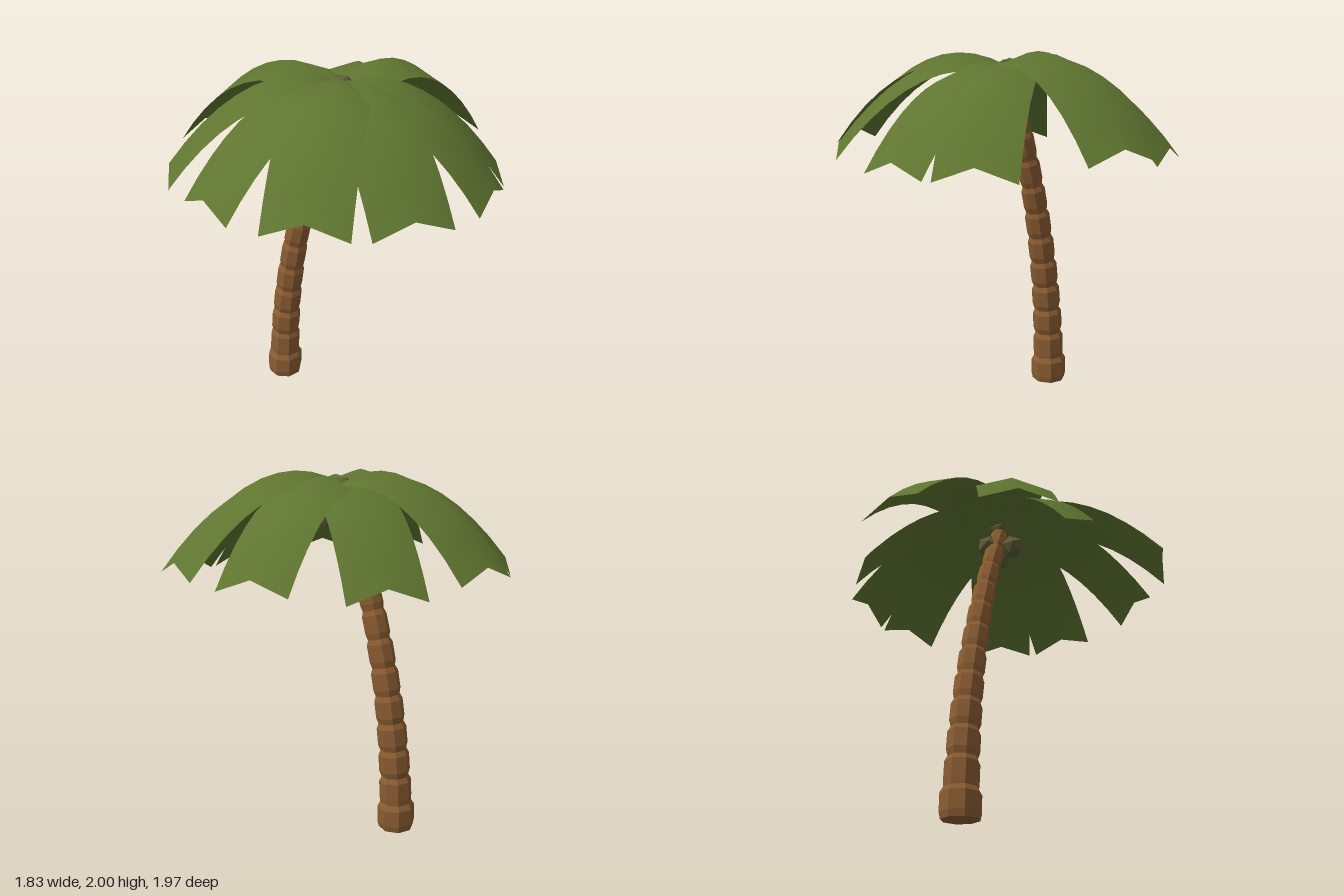
import * as THREE from 'three';

const CROWN_X = 0.07;
const TRUNK_H = 1.88;
const SEGMENTS = 12;
const SIDES = 8;

// Trunk centre line: upright at the base, leaning steadily towards +x
const trunkX = (y) => -0.325 + 0.395 * (y / TRUNK_H) ** 2;
const trunkTilt = (y) => Math.atan((2 * 0.395 * y) / TRUNK_H ** 2);

function trunkGeometry() {
  // Each segment bulges between two narrow joints
  const rings = [];
  const h = TRUNK_H / SEGMENTS;
  for (let i = 0; i < SEGMENTS; i++) {
    const r = i === 0 ? 0.107 : 0.096 - 0.0038 * i;
    const steps = [[0.22, 1], [0.82, 1], [1, 0.84]];
    if (i === 0) steps.unshift([0, 0.93]);
    for (const [f, k] of steps) rings.push([(i + f) * h, r * k]);
  }

  const pos = [];
  const index = [];
  for (const [y, r] of rings) {
    const tilt = trunkTilt(y);
    for (let j = 0; j < SIDES; j++) {
      const a = (j / SIDES) * Math.PI * 2;
      const u = Math.cos(a) * r;
      pos.push(trunkX(y) + u * Math.cos(tilt), y - u * Math.sin(tilt), Math.sin(a) * r);
    }
  }
  for (let i = 0; i < rings.length - 1; i++) {
    for (let j = 0; j < SIDES; j++) {
      const a = i * SIDES + j;
      const b = i * SIDES + ((j + 1) % SIDES);
      index.push(a, a + SIDES, b, b, a + SIDES, b + SIDES);
    }
  }
  // End caps
  const top = (rings.length - 1) * SIDES;
  for (let j = 1; j < SIDES - 1; j++) {
    index.push(0, j, j + 1, top, top + j + 1, top + j);
  }
  const geo = new THREE.BufferGeometry();
  geo.setAttribute('position', new THREE.Float32BufferAttribute(pos, 3));
  geo.setIndex(index);
  geo.computeVertexNormals();
  return geo;
}

// A strip with a raised midrib that rises from the crown, then droops
function frondGeometry(length, rise, droop) {
  const geo = new THREE.PlaneGeometry(length, 0.4, 10, 2);
  geo.rotateX(-Math.PI / 2).translate(length / 2, 0, 0);
  const p = geo.attributes.position;
  for (let i = 0; i < p.count; i++) {
    const t = p.getX(i) / length;
    p.setY(i, 1.927 + rise * t - droop * t * t - 0.35 * Math.abs(p.getZ(i)));
  }
  geo.computeVertexNormals();
  return geo;
}

export function createModel() {
  const model = new THREE.Group();
  const bark = new THREE.MeshStandardMaterial({ color: 0x8a5c32, flatShading: true });
  const leaf = new THREE.MeshStandardMaterial({ color: 0x5f7530, side: THREE.DoubleSide });
  const husk = new THREE.MeshStandardMaterial({ color: 0x5c5c38, flatShading: true });

  const add = (parent, name, geometry, material) => {
    const mesh = new THREE.Mesh(geometry, material);
    mesh.name = name;
    parent.add(mesh);
    return mesh;
  };

  add(model, 'trunk', trunkGeometry(), bark);

  // Ten fronds in three alternating lengths, every second one turned a little further
  const fronds = new THREE.Group();
  fronds.name = 'fronds';
  fronds.position.x = CROWN_X;
  model.add(fronds);
  const kinds = [[0.84, 0.25, 0.687], [0.905, 0.38, 0.775], [0.972, 0.5, 0.857]];
  const frondGeos = kinds.map((k) => frondGeometry(...k));
  for (let i = 0; i < 10; i++) {
    const frond = add(fronds, 'frond', frondGeos[i % 3], leaf);
    frond.rotation.y = -THREE.MathUtils.degToRad(i * 36 + (i % 2) * 6);
  }

  // Crown bud on top, with three nuts hanging round the trunk
  const nutGeo = new THREE.IcosahedronGeometry(0.072, 0);
  add(model, 'crownBud', nutGeo, husk).position.set(CROWN_X, 1.9, 0);
  for (let i = 0; i < 3; i++) {
    const a = Math.PI / 2 + (i * Math.PI * 2) / 3;
    const nut = add(model, 'nut', nutGeo, husk);
    nut.position.set(CROWN_X + Math.cos(a) * 0.085, 1.75, Math.sin(a) * 0.085);
    nut.rotation.y = i;
  }
  return model;
}
